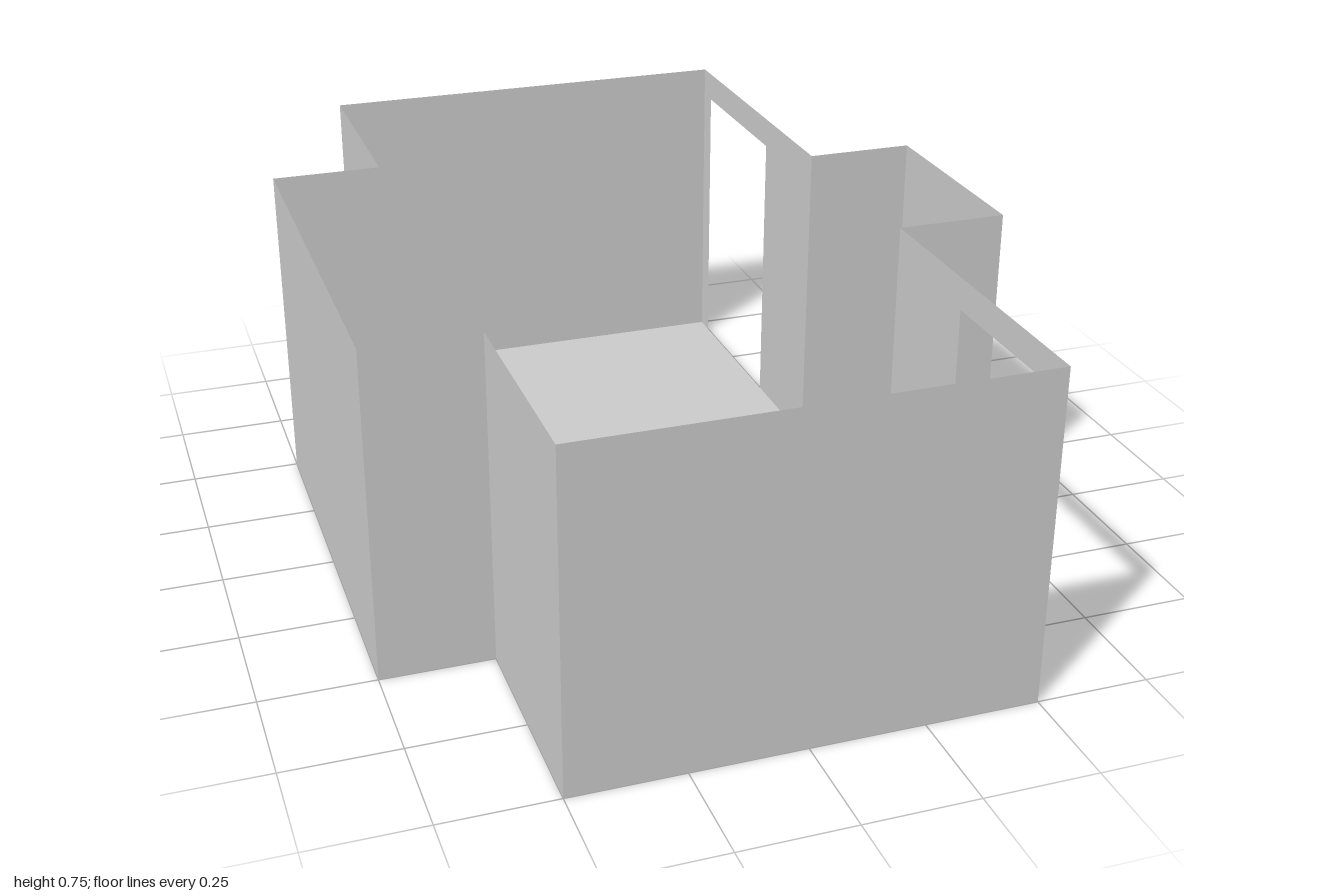
import * as THREE from 'three';

const HEIGHT = 0.75;
const DOOR_HEIGHT = 0.68;

// Outline of the room as [x, z], with doorways given as a z range on a wall
const OUTLINE = [
  { name: 'frontWall', at: [-0.5, 1] },
  { name: 'leftFrontDoorWall', at: [0.5, 1], door: [0.957, 0.553] },
  { name: 'smallBayFrontWall', at: [0.5, 0.25] },
  { name: 'smallBayOuterWall', at: [0.75, 0.25] },
  { name: 'smallBayBackWall', at: [0.75, -0.25] },
  { name: 'leftBackDoorWall', at: [0.5, -0.25], door: [-0.543, -0.95] },
  { name: 'backWall', at: [0.5, -1] },
  { name: 'rightBackWall', at: [-0.5, -1] },
  { name: 'largeBayBackWall', at: [-0.5, -0.5] },
  { name: 'largeBayOuterWall', at: [-0.75, -0.5] },
  { name: 'largeBayFrontWall', at: [-0.75, 0.5] },
  { name: 'rightFrontWall', at: [-0.5, 0.5] },
];

const polygon = (points) => new THREE.Shape(points.map(([x, y]) => new THREE.Vector2(x, y)));

export function createModel() {
  const group = new THREE.Group();
  const material = new THREE.MeshStandardMaterial({
    color: 0xcccccc, flatShading: true, side: THREE.DoubleSide,
  });

  // Floor: the outline laid flat, facing up
  const floorGeometry = new THREE.ShapeGeometry(polygon(OUTLINE.map(({ at: [x, z] }) => [x, -z])));
  floorGeometry.rotateX(-Math.PI / 2);
  const floor = new THREE.Mesh(floorGeometry, material);
  floor.name = 'floor';
  group.add(floor);

  // Walls: one thin sheet per outline edge, notched where there is a doorway
  OUTLINE.forEach(({ name, at: [x, z], door }, i) => {
    const [nextX, nextZ] = OUTLINE[(i + 1) % OUTLINE.length].at;
    const length = Math.hypot(nextX - x, nextZ - z);
    const base = [[0, 0]];
    if (door) {
      const [a, b] = door.map((doorZ) => Math.abs(doorZ - z));
      base.push([a, 0], [a, DOOR_HEIGHT], [b, DOOR_HEIGHT], [b, 0]);
    }
    const shape = polygon([...base, [length, 0], [length, HEIGHT], [0, HEIGHT]]);
    const wall = new THREE.Mesh(new THREE.ShapeGeometry(shape), material);
    wall.name = name;
    wall.position.set(x, 0, z);
    wall.rotation.y = Math.atan2(z - nextZ, nextX - x);
    group.add(wall);
  });

  return group;
}
